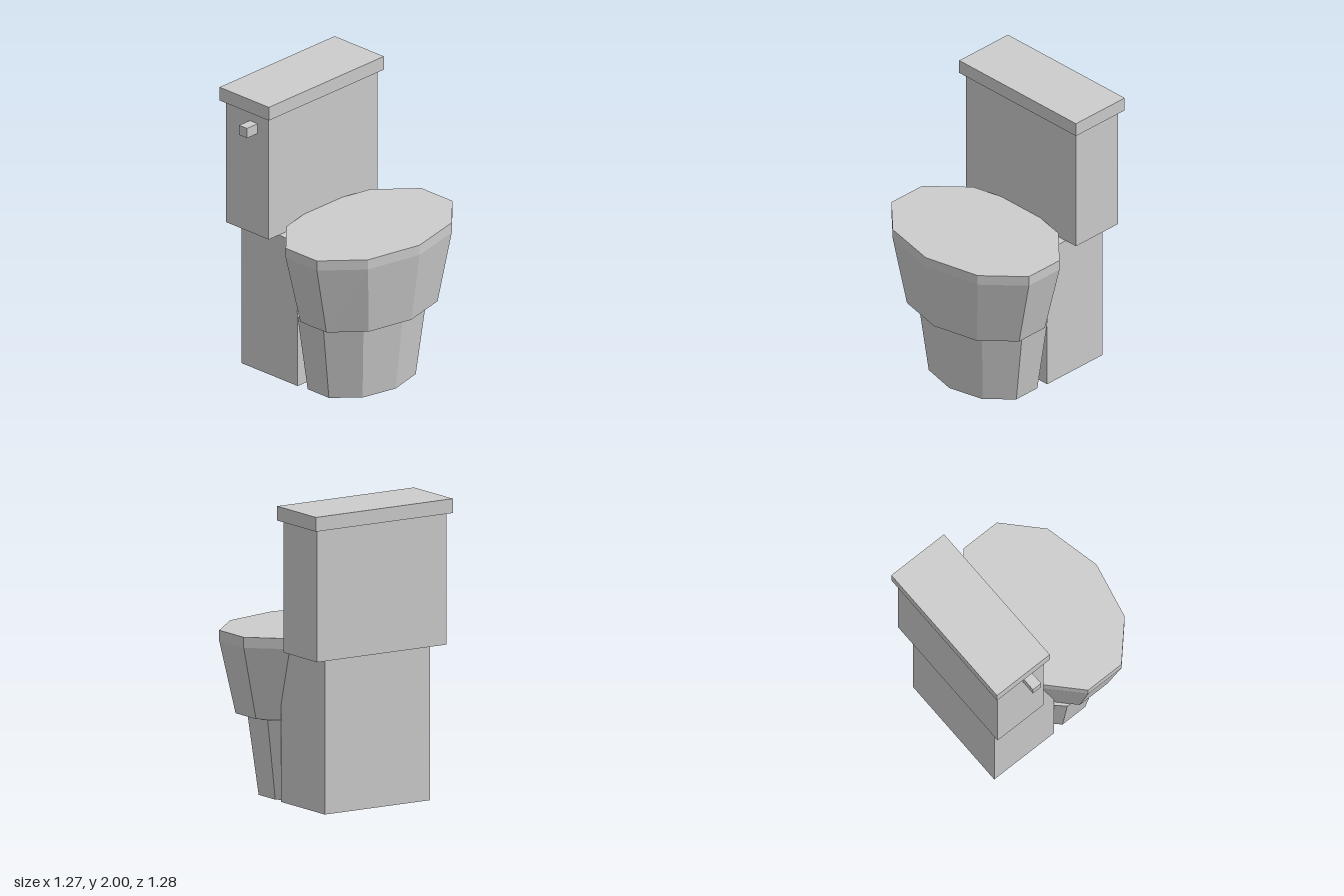
import * as THREE from 'three';

const porcelain = new THREE.MeshStandardMaterial({ color: 0xcccccc, flatShading: true });
porcelain.name = 'porcelain grey';

// Box given by its minimum and maximum on each axis
function box(name, [x0, x1], [y0, y1], [z0, z1]) {
  const mesh = new THREE.Mesh(new THREE.BoxGeometry(x1 - x0, y1 - y0, z1 - z0), porcelain);
  mesh.position.set((x0 + x1) / 2, (y0 + y1) / 2, (z0 + z1) / 2);
  mesh.name = name;
  return mesh;
}

// Ten-sided tapered oval; each end has its own height and x/z radii
function oval(name, centreZ, bottom, top) {
  const geometry = new THREE.CylinderGeometry(1, 1, 1, 10);
  const p = geometry.attributes.position;
  for (let i = 0; i < p.count; i++) {
    const end = p.getY(i) > 0 ? top : bottom;
    p.setXYZ(i, p.getX(i) * end.rx, end.y, p.getZ(i) * end.rz);
  }
  geometry.computeVertexNormals();
  const mesh = new THREE.Mesh(geometry, porcelain);
  mesh.position.z = centreZ;
  mesh.name = name;
  return mesh;
}

export function createModel() {
  const model = new THREE.Group();
  model.name = 'toilet';

  // Bowl: pedestal, flared basin and closed seat cover
  model.add(
    oval('pedestal', 0.115, { y: 0, rx: 0.425, rz: 0.31 }, { y: 0.54, rx: 0.503, rz: 0.375 }),
    oval('bowl', 0.185, { y: 0.54, rx: 0.55, rz: 0.38 }, { y: 1.03, rx: 0.669, rz: 0.455 }),
    oval('seatCover', 0.185, { y: 1.03, rx: 0.669, rz: 0.455 }, { y: 1.1, rx: 0.669, rz: 0.455 })
  );

  // Rear support, tank, lid and flush handle
  model.add(
    box('rearSupport', [-0.415, 0.415], [0, 1.03], [-0.565, -0.06]),
    box('tank', [-0.51, 0.51], [1.03, 1.905], [-0.615, -0.23]),
    box('tankLid', [-0.54, 0.54], [1.905, 2], [-0.645, -0.2]),
    box('flushHandle', [-0.61, -0.5], [1.76, 1.83], [-0.4, -0.33])
  );

  return model;
}
